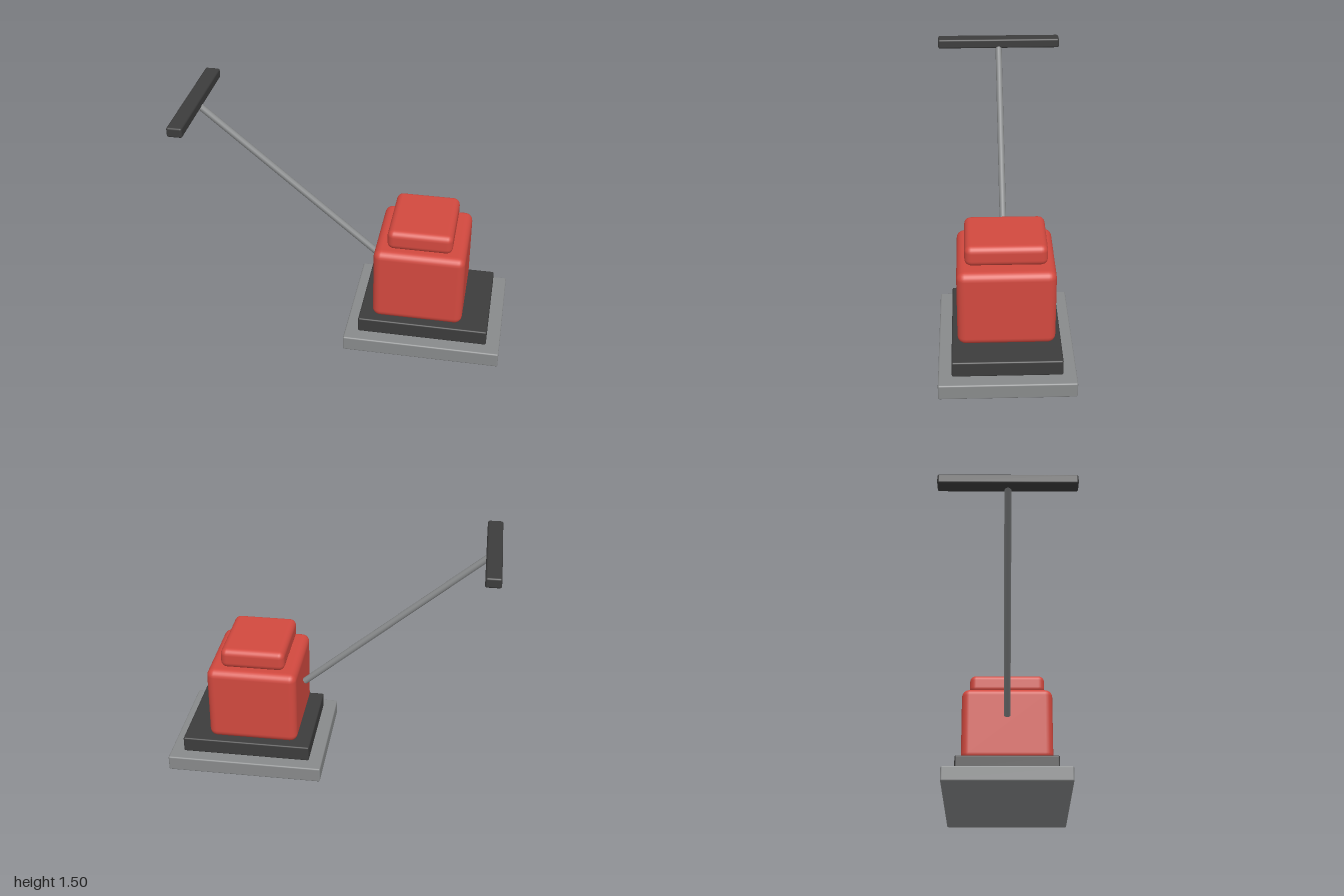
import * as THREE from 'three';
import { RoundedBoxGeometry } from 'three/addons/geometries/RoundedBoxGeometry.js';

const material = (name, color) => {
  const m = new THREE.MeshStandardMaterial({ color });
  m.name = name;
  return m;
};

export function createModel() {
  const red = material('red paint', 0xd2493f);
  const steel = material('grey steel', 0x888a8b);
  const rubber = material('dark rubber', 0x3c3c3c);

  const group = new THREE.Group();
  group.name = 'plateCompactor';

  // Rounded block given by its x and y limits, centred on z
  function block(name, x0, x1, y0, y1, depth, radius, mat) {
    const geo = new RoundedBoxGeometry(x1 - x0, y1 - y0, depth, 3, radius);
    const mesh = new THREE.Mesh(geo, mat);
    mesh.name = name;
    mesh.position.set((x0 + x1) / 2, (y0 + y1) / 2, 0);
    group.add(mesh);
  }

  // Ground plate and the mount above it
  block('basePlate', 0.025, 1.0, 0, 0.097, 0.81, 0.01, steel);
  block('engineMount', 0.108, 0.916, 0.097, 0.196, 0.65, 0.01, rubber);

  // Engine housing and its cap
  block('engineBody', 0.19, 0.752, 0.197, 0.684, 0.58, 0.048, red);
  block('engineCap', 0.268, 0.668, 0.686, 0.814, 0.484, 0.04, red);

  // Sloping handle rod
  const low = new THREE.Vector3(0.18, 0.488, 0);
  const high = new THREE.Vector3(-0.955, 1.462, 0);
  const along = high.clone().sub(low);
  const rod = new THREE.Mesh(new THREE.CylinderGeometry(0.021, 0.021, along.length(), 12), steel);
  rod.name = 'handleRod';
  rod.position.copy(low).add(high).multiplyScalar(0.5);
  rod.quaternion.setFromUnitVectors(new THREE.Vector3(0, 1, 0), along.normalize());
  group.add(rod);

  // Crossbar grip
  block('handleGrip', -1.0, -0.907, 1.434, 1.496, 0.81, 0.012, rubber);

  return group;
}
